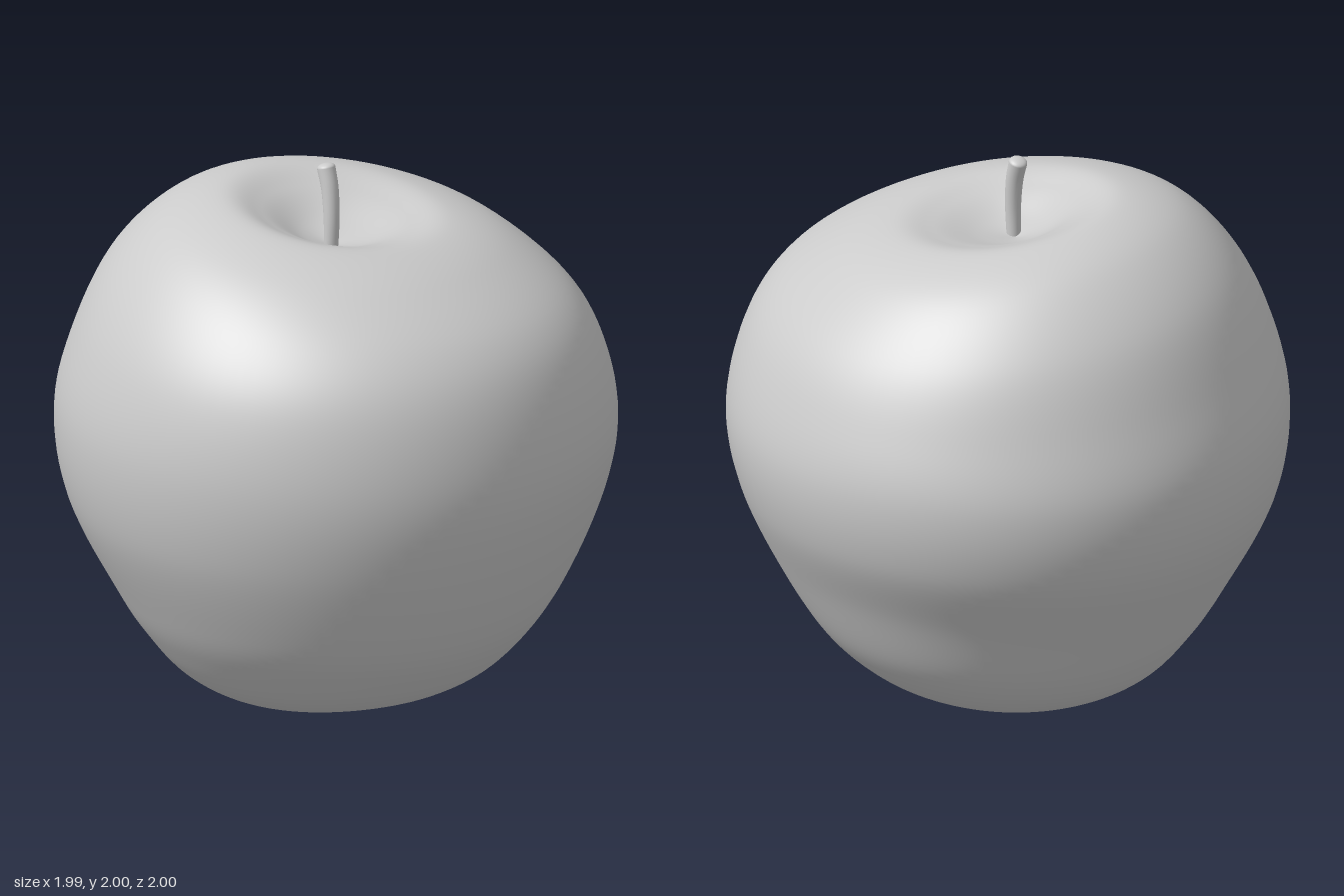
import * as THREE from 'three';

// Half profiles [radius, height] from the stem dimple to the base dimple, one per side
const PROFILES = {
  front: [[0, 1.69], [0.12, 1.713], [0.26, 1.757], [0.4, 1.768], [0.6, 1.695], [0.83, 1.54], [0.95, 1.34], [1, 1.05],
    [0.95, 0.77], [0.81, 0.43], [0.65, 0.22], [0.5, 0.11], [0.34, 0.058], [0.22, 0.045], [0.11, 0.06], [0, 0.075]],
  left: [[0, 1.69], [0.12, 1.72], [0.27, 1.768], [0.42, 1.787], [0.63, 1.7], [0.82, 1.51], [0.93, 1.3], [0.99, 1.06],
    [0.95, 0.8], [0.82, 0.54], [0.69, 0.29], [0.54, 0.13], [0.38, 0.05], [0.23, 0.03], [0.11, 0.055], [0, 0.075]],
  back: [[0, 1.69], [0.12, 1.735], [0.26, 1.82], [0.41, 1.868], [0.61, 1.8], [0.8, 1.61], [0.92, 1.34], [0.995, 1.05],
    [0.95, 0.75], [0.77, 0.41], [0.66, 0.235], [0.55, 0.115], [0.4, 0.035], [0.24, 0], [0.11, 0.045], [0, 0.075]],
  right: [[0, 1.69], [0.12, 1.73], [0.26, 1.8], [0.4, 1.838], [0.63, 1.765], [0.81, 1.61], [0.94, 1.39], [0.995, 1.1],
    [0.95, 0.78], [0.81, 0.46], [0.7, 0.285], [0.57, 0.14], [0.41, 0.05], [0.24, 0.025], [0.11, 0.055], [0, 0.075]],
};

// Smooth blend of the four side values around the vertical axis
function blend(f, l, b, r, a) {
  const s = Math.sin(a), c = Math.cos(a);
  return (f + l + b + r) / 4 + ((f - b) / 2) * c + ((l - r) / 2) * s
    + ((f + b - l - r) / 4) * Math.cos(2 * a);
}

function bodyGeometry(rows = 120, cols = 96) {
  const curves = ['front', 'left', 'back', 'right'].map(
    (side) => new THREE.SplineCurve(PROFILES[side].map(([r, y]) => new THREE.Vector2(r, y))));
  const positions = [], index = [];
  for (let i = 0; i <= rows; i++) {
    const t = i / rows;
    const [f, l, b, r] = curves.map((curve) => curve.getPoint(t));
    const shift = -0.04 * Math.max(0, 1 - 5 * t) ** 2; // the stem dimple sits off centre
    for (let j = 0; j < cols; j++) {
      const a = (j / cols) * Math.PI * 2;
      const radius = blend(f.x, l.x, b.x, r.x, a);
      positions.push(radius * Math.sin(a) + shift, blend(f.y, l.y, b.y, r.y, a), radius * Math.cos(a));
      if (i === rows) continue;
      const k = (j + 1) % cols;
      const p = i * cols + j, q = i * cols + k;
      if (i < rows - 1) index.push(p, p + cols, q + cols);
      if (i > 0) index.push(p, q + cols, q);
      if (i === rows - 1) index.push(p, p + cols, q);
    }
  }
  const geometry = new THREE.BufferGeometry();
  geometry.setAttribute('position', new THREE.Float32BufferAttribute(positions, 3));
  geometry.setIndex(index);
  geometry.computeVertexNormals();
  return geometry;
}

function createStem(material) {
  const path = new THREE.CatmullRomCurve3([
    new THREE.Vector3(-0.056, 1.67, 0.02), new THREE.Vector3(-0.053, 1.8, 0.021),
    new THREE.Vector3(-0.046, 1.91, 0.008), new THREE.Vector3(-0.041, 1.982, -0.012)]);
  const stem = new THREE.Group();
  stem.name = 'stem';

  // Tube that thickens toward the tip
  const rings = 24, sides = 20, baseRadius = 0.025, tipRadius = 0.033;
  const tube = new THREE.TubeGeometry(path, rings, 1, sides);
  const pos = tube.attributes.position, v = new THREE.Vector3();
  for (let n = 0; n < pos.count; n++) {
    const t = Math.floor(n / (sides + 1)) / rings;
    const centre = path.getPointAt(t);
    v.fromBufferAttribute(pos, n).sub(centre);
    v.multiplyScalar(THREE.MathUtils.lerp(baseRadius, tipRadius, t)).add(centre);
    pos.setXYZ(n, v.x, v.y, v.z);
  }
  const stalk = new THREE.Mesh(tube, material);
  stalk.name = 'stemStalk';

  // Softly domed end
  const tip = new THREE.Mesh(new THREE.SphereGeometry(tipRadius, sides, 8, 0, Math.PI * 2, 0, Math.PI / 2), material);
  tip.name = 'stemTip';
  tip.scale.y = 0.5;
  tip.position.copy(path.getPointAt(1));
  tip.quaternion.setFromUnitVectors(new THREE.Vector3(0, 1, 0), path.getTangentAt(1));
  stem.add(stalk, tip);
  return stem;
}

export function createModel() {
  const material = new THREE.MeshStandardMaterial({ color: 0xcccccc });
  const group = new THREE.Group();
  group.name = 'apple';
  const body = new THREE.Mesh(bodyGeometry(), material);
  body.name = 'fruitBody';
  group.add(body, createStem(material));
  return group;
}
